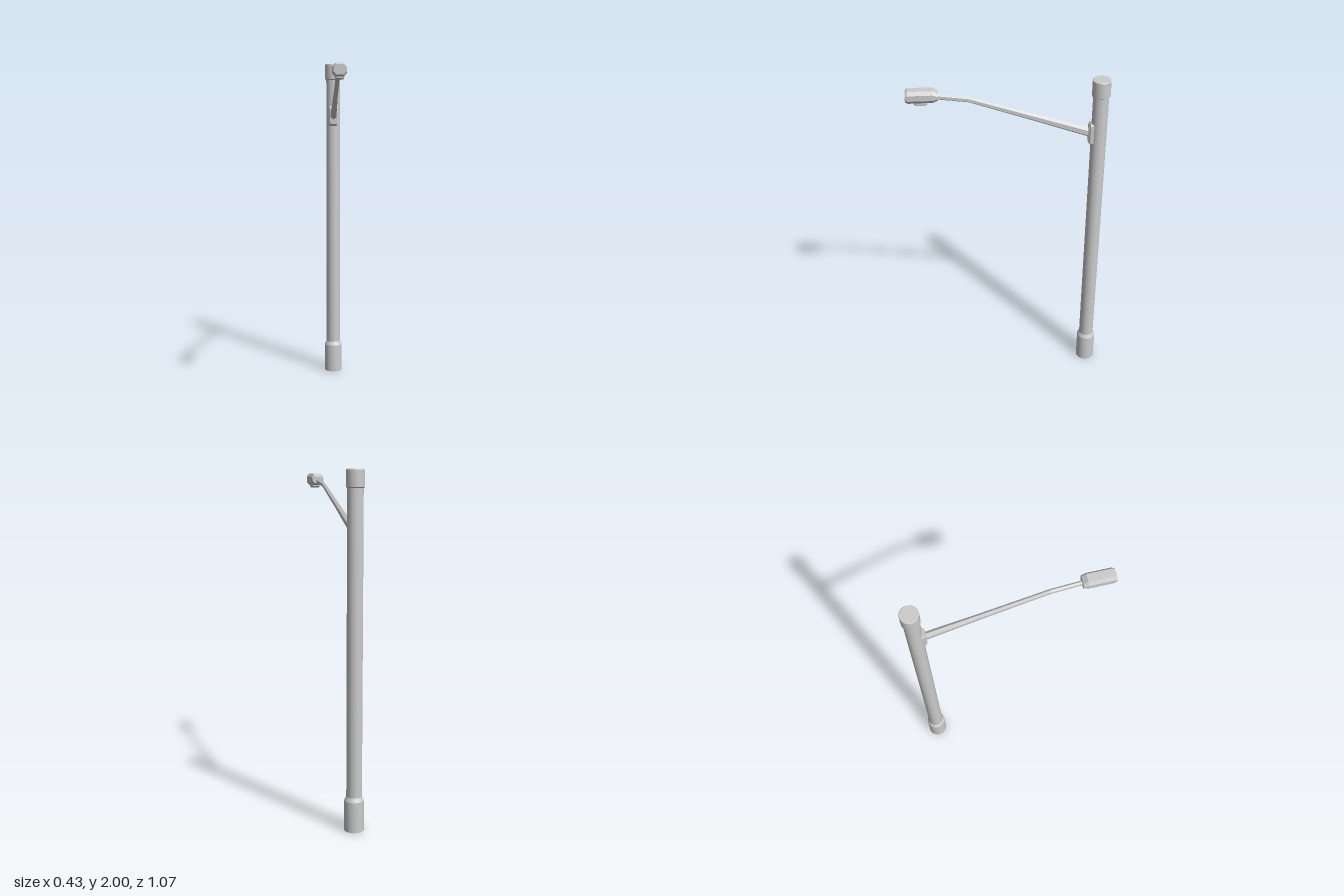
import * as THREE from 'three';
import { toCreasedNormals } from 'three/addons/utils/BufferGeometryUtils.js';

const smooth = new THREE.MeshStandardMaterial({ color: 0xcccccc });
const flat = new THREE.MeshStandardMaterial({ color: 0xcccccc, flatShading: true });

function addMesh(parent, name, geometry, material) {
  const mesh = new THREE.Mesh(geometry, material);
  mesh.name = name;
  parent.add(mesh);
}

// Closed solid through equal-sized rings of [x, y], each placed at its own z
function loft(rings) {
  const n = rings[0].points.length;
  const positions = rings.flatMap(({ z, points }) => points.flatMap(([x, y]) => [x, y, z]));
  const index = [];
  const last = (rings.length - 1) * n;
  for (let k = 0; k < rings.length - 1; k++) {
    for (let i = 0; i < n; i++) {
      const a = k * n + i, b = k * n + (i + 1) % n;
      index.push(a, b, b + n, a, b + n, a + n);
    }
  }
  for (let i = 1; i < n - 1; i++) {
    index.push(0, i + 1, i, last, last + i, last + i + 1);
  }
  const geometry = new THREE.BufferGeometry();
  geometry.setAttribute('position', new THREE.Float32BufferAttribute(positions, 3));
  geometry.setIndex(index);
  const result = geometry.toNonIndexed();
  result.computeVertexNormals();
  return result;
}

function ellipse(cy, rx, ry, sides) {
  return Array.from({ length: sides }, (_, i) => {
    const a = (i + 0.5) / sides * Math.PI * 2;
    return [Math.cos(a) * rx, cy + Math.sin(a) * ry];
  });
}

// Octagon with chamfered corners, given its half width, bottom, top and chamfers
function chamfered(w, y0, y1, cx, cy) {
  const right = [[w - cx, y0], [w, y0 + cy], [w, y1 - cy], [w - cx, y1]];
  return [...right, ...right.map(([x, y]) => [-x, y]).reverse()];
}

function lathe(profile) {
  const points = profile.map(([r, y]) => new THREE.Vector2(r, y));
  return toCreasedNormals(new THREE.LatheGeometry(points, 20), 0.4);
}

export function createModel() {
  const model = new THREE.Group();
  model.name = 'streetLamp';
  model.position.set(0, 0, 0);

  // Everything hangs on the pole axis; the arm points along the turned z axis
  const lamp = new THREE.Group();
  lamp.name = 'lampPost';
  lamp.position.set(0.157, 0, -0.481);
  model.add(lamp);

  addMesh(lamp, 'poleBase', lathe([[0, 0], [0.056, 0], [0.056, 0.175], [0.044, 0.198]]), smooth);
  addMesh(lamp, 'poleShaft', lathe([[0.044, 0.19], [0.044, 1.91]]), smooth);
  addMesh(lamp, 'poleCap', lathe([[0.043, 1.9], [0.051, 1.905], [0.051, 1.996], [0.048, 2], [0, 2]]), smooth);

  const arm = new THREE.Group();
  arm.name = 'armAssembly';
  arm.rotation.y = -0.326;
  lamp.add(arm);

  // Bracket plate against the pole
  addMesh(arm, 'bracket', loft([
    { z: 0.025, points: chamfered(0.03, 1.61, 1.737, 0.006, 0.01) },
    { z: 0.05, points: chamfered(0.03, 1.61, 1.737, 0.006, 0.01) },
    { z: 0.06, points: chamfered(0.021, 1.625, 1.722, 0.005, 0.008) },
  ]), flat);

  // Tapered arm with a bend near the lamp
  const armRings = [
    [0.04, 1.674, 0.021, 0.029],
    [0.38, 1.79, 0.015, 0.021],
    [0.72, 1.906, 0.0125, 0.016],
    [0.91, 1.932, 0.0115, 0.016],
  ];
  addMesh(arm, 'arm', loft(armRings.map(([z, y, rx, ry]) => ({ z, points: ellipse(y, rx, ry, 6) }))), flat);

  // Lamp head and the lens under it
  addMesh(arm, 'lampHead', loft([
    { z: 0.885, points: chamfered(0.034, 1.918, 1.958, 0.011, 0.013) },
    { z: 0.91, points: chamfered(0.037, 1.905, 1.975, 0.014, 0.019) },
    { z: 1.045, points: chamfered(0.037, 1.905, 1.975, 0.014, 0.019) },
    { z: 1.06, points: chamfered(0.034, 1.913, 1.967, 0.013, 0.017) },
  ]), flat);
  addMesh(arm, 'lens', loft([
    { z: 0.94, points: chamfered(0.02, 1.897, 1.915, 0.004, 0.004) },
    { z: 0.95, points: chamfered(0.024, 1.889, 1.915, 0.006, 0.006) },
    { z: 1.005, points: chamfered(0.024, 1.889, 1.915, 0.006, 0.006) },
    { z: 1.015, points: chamfered(0.02, 1.897, 1.915, 0.004, 0.004) },
  ]), flat);

  return model;
}
